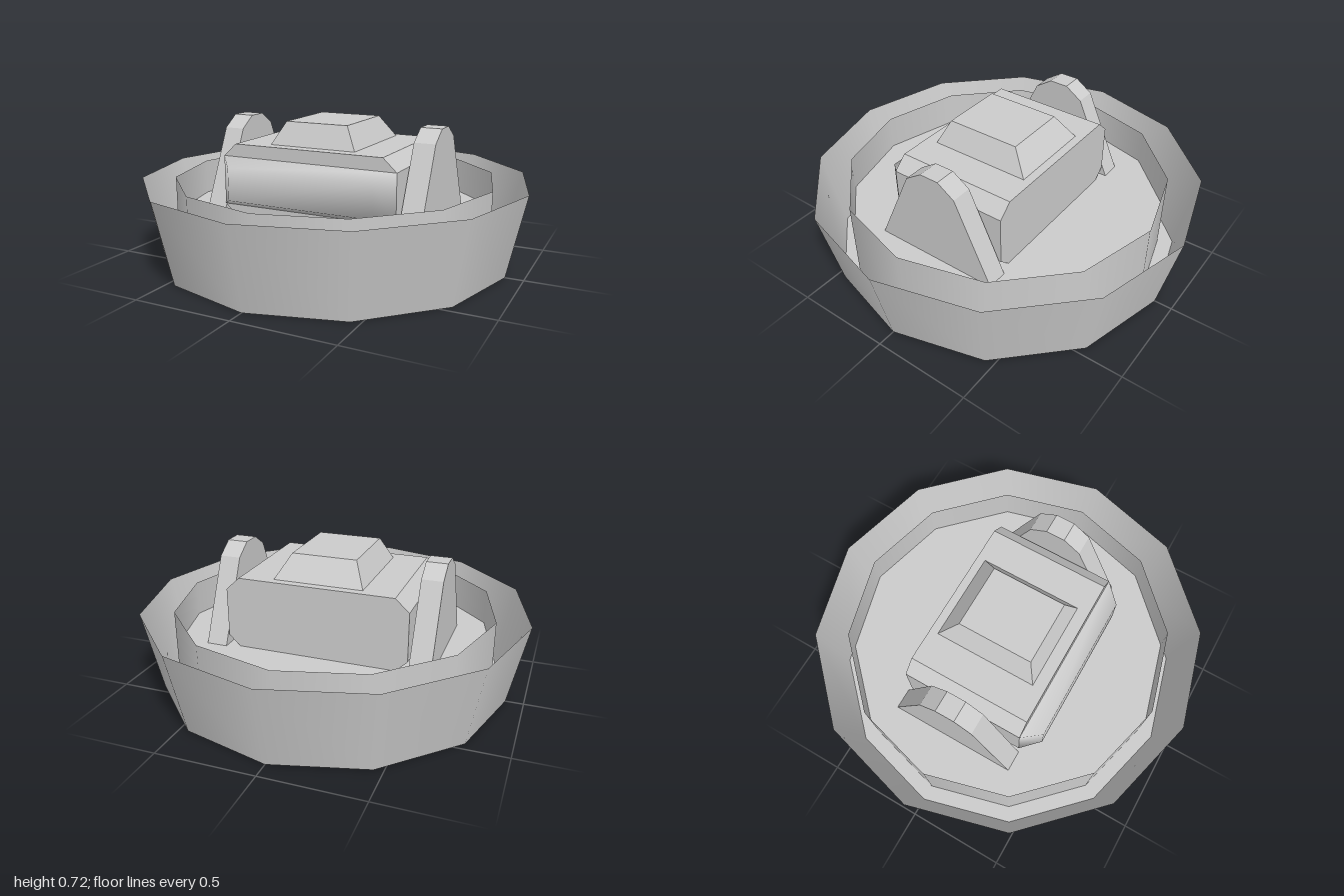
import * as THREE from 'three';

const SIDES = 12;
const smooth = new THREE.MeshStandardMaterial({ color: 0xcccccc, side: THREE.DoubleSide });
const flat = new THREE.MeshStandardMaterial({ color: 0xcccccc, flatShading: true });

function add(parent, name, geometry, material) {
  const mesh = new THREE.Mesh(geometry, material);
  mesh.name = name;
  parent.add(mesh);
  return mesh;
}

// Twelve-sided surface swept from one (radius, height) point to another
function band(r0, y0, r1, y1) {
  return new THREE.LatheGeometry([new THREE.Vector2(r0, y0), new THREE.Vector2(r1, y1)], SIDES);
}

function extrude(points, depth) {
  const shape = new THREE.Shape(points.map(([x, y]) => new THREE.Vector2(x, y)));
  return new THREE.ExtrudeGeometry(shape, { depth, bevelEnabled: false });
}

// Unit box whose +axis face is moved to its own rectangle by a rule
function reshape(geometry, rule) {
  const p = geometry.attributes.position;
  for (let i = 0; i < p.count; i++) {
    p.setXYZ(i, ...rule(Math.sign(p.getX(i)), Math.sign(p.getY(i)), Math.sign(p.getZ(i))));
  }
  geometry.computeVertexNormals();
  return geometry;
}

// Open nose: a rectangle at the back lofted to a smaller one in front, with shared smooth normals
function noseGeometry() {
  const rings = [[0.47, 0.125, 0.33], [0.39, 0.083, 0.42]];
  const positions = [];
  for (const [w, h, z] of rings) {
    for (const [sx, sy] of [[-1, -1], [1, -1], [1, 1], [-1, 1]]) positions.push(sx * w, 0.415 + sy * h, z);
  }
  const index = [4, 5, 6, 4, 6, 7];
  for (let i = 0; i < 4; i++) {
    const j = (i + 1) % 4;
    index.push(i, j, j + 4, i, j + 4, i + 4);
  }
  const g = new THREE.BufferGeometry();
  g.setAttribute('position', new THREE.Float32BufferAttribute(positions, 3));
  g.setIndex(index);
  g.computeVertexNormals();
  return g;
}

export function createModel() {
  const model = new THREE.Group();
  model.name = 'turretRing';

  // Basin: flared outer wall, open gap, upright inner wall and two floors
  const basin = new THREE.Group();
  basin.name = 'basin';
  model.add(basin);
  add(basin, 'outerWall', band(0.91, 0, 1, 0.42), smooth);
  add(basin, 'innerWall', band(0.83, 0, 0.83, 0.42), smooth);
  add(basin, 'bottomRing', band(0.83, 0, 0.91, 0), smooth);
  for (const [name, y, turn] of [['floor', 0.235, -1], ['underside', 0.035, 1]]) {
    const disc = add(basin, name, new THREE.CircleGeometry(0.83, SIDES), smooth);
    disc.rotation.x = turn * Math.PI / 2;
    disc.position.y = y;
  }

  // Body: chamfered block with a rounded-looking nose
  const body = extrude([
    [-0.4, 0.225], [0.4, 0.225], [0.47, 0.29], [0.47, 0.54],
    [0.4, 0.605], [-0.4, 0.605], [-0.47, 0.54], [-0.47, 0.29],
  ], 0.64);
  body.translate(0, 0, -0.31);
  add(model, 'body', body, flat);
  add(model, 'nose', noseGeometry(), smooth);

  // Raised hatch on top
  const hatch = reshape(new THREE.BoxGeometry(1, 1, 1), (x, y, z) => (y > 0
    ? [x * 0.167, 0.72, z > 0 ? 0.217 : -0.173]
    : [x * 0.23, 0.604, z > 0 ? 0.267 : -0.267]));
  add(model, 'hatch', hatch, flat);

  // Side brackets, drawn in side profile and turned to face along x
  const profile = [
    [-0.335, 0.235], [0.335, 0.235], [0.14, 0.65], [0.05, 0.71], [-0.05, 0.71], [-0.14, 0.65],
  ];
  for (const [name, x] of [['leftBracket', 0.532], ['rightBracket', -0.532]]) {
    const g = extrude(profile, 0.108);
    g.translate(0, 0, -0.054);
    g.rotateY(Math.PI / 2);
    add(model, name, g, flat).position.x = x;
  }
  return model;
}
